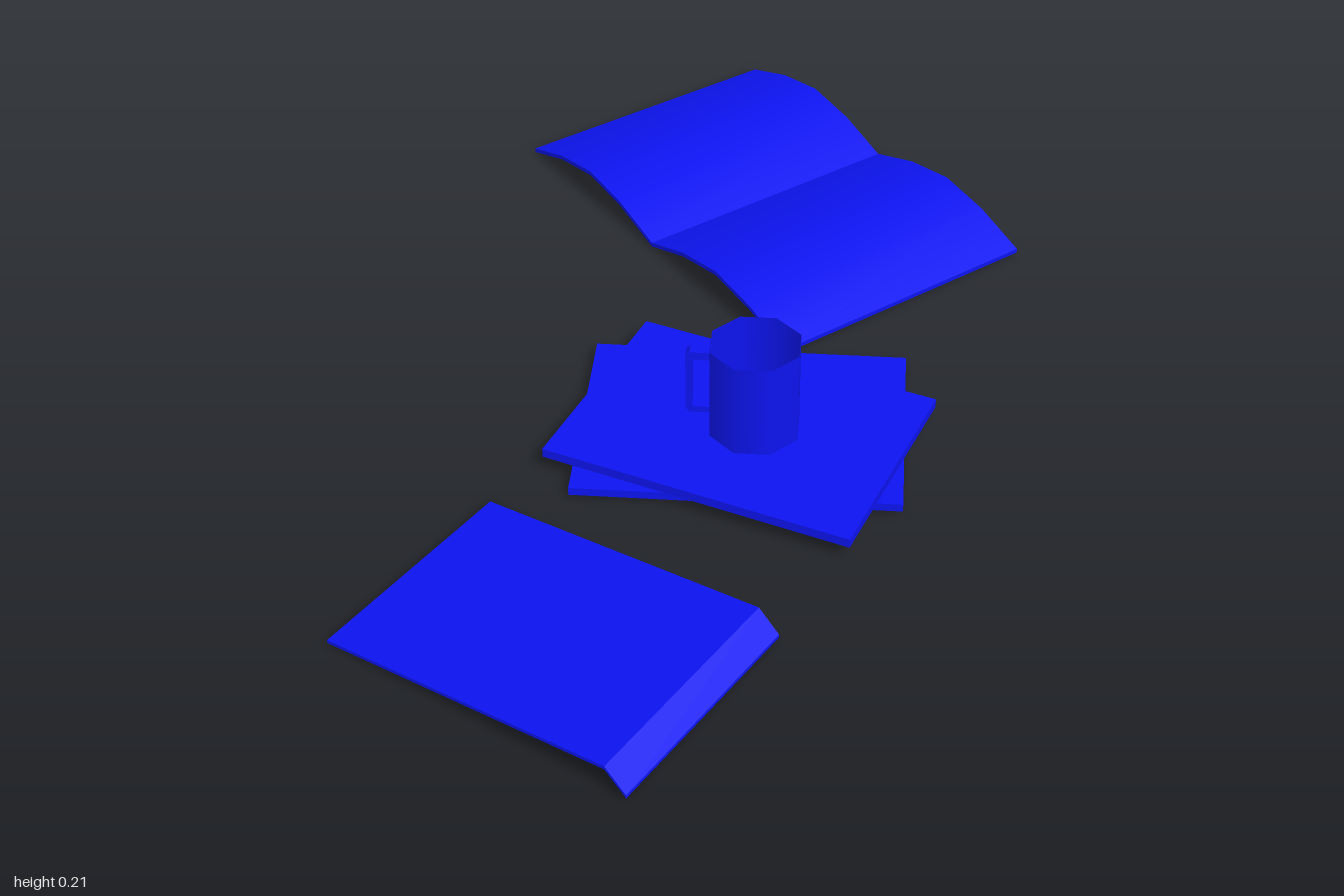
import * as THREE from 'three';
import { toCreasedNormals } from 'three/addons/utils/BufferGeometryUtils.js';

const material = new THREE.MeshStandardMaterial({ color: 0x0d14f0, side: THREE.DoubleSide });

function add(parent, name, geometry, x, y, z, turn = 0) {
  const mesh = new THREE.Mesh(geometry, material);
  mesh.name = name;
  mesh.position.set(x, y, z);
  mesh.rotation.y = turn;
  parent.add(mesh);
  return mesh;
}

// Thin bent sheet: an upper outline thickened downward and extruded along z
function sheet(profile, thickness, depth) {
  const top = profile.map(([x, y]) => new THREE.Vector2(x, y));
  const bottom = profile.map(([x, y]) => new THREE.Vector2(x, y - thickness)).reverse();
  const geometry = new THREE.ExtrudeGeometry(new THREE.Shape([...top, ...bottom]), { depth, bevelEnabled: false });
  geometry.translate(0, 0, -depth / 2);
  return toCreasedNormals(geometry, 0.5);
}

export function createModel() {
  const model = new THREE.Group();
  model.name = 'booksAndMug';

  // Open book lying face down: two arched halves meeting at the spine
  const arch = [0.01, 0.044, 0.06, 0.044];
  const outline = [...arch, ...arch, 0.01].map((y, i) => [-0.405 + i * 0.10125, y]);
  add(model, 'openBook', sheet(outline, 0.008, 0.533), 0.055, 0, -0.52, -0.873);

  // Tilted cover with a folded edge
  const cover = [[-0.273, 0.006], [0.237, 0.048], [0.273, 0.013]];
  add(model, 'tiltedCover', sheet(cover, 0.006, 0.38), -0.19, 0, 0.693, -0.524);

  // Stack of two closed books
  add(model, 'lowerBook', new THREE.BoxGeometry(0.53, 0.014, 0.385), 0.055, 0.014, 0.175);
  add(model, 'upperBook', new THREE.BoxGeometry(0.531, 0.016, 0.383), 0.055, 0.034, 0.21, -0.349);

  // Mug: eight-sided thin open cup
  const mug = new THREE.Group();
  mug.name = 'mug';
  mug.position.set(0.076, 0.042, 0.215);
  model.add(mug);
  const r = 0.077;
  const wall = new THREE.CylinderGeometry(r, r, 0.167, 8, 1, true);
  add(mug, 'mugWall', wall, 0, 0.0835, 0, Math.PI / 8);
  const base = new THREE.CircleGeometry(r, 8).rotateX(-Math.PI / 2);
  add(mug, 'mugBase', base, 0, 0.002, 0, Math.PI / 8);

  // Handle: bracket with clipped outer corners
  const bracket = (out, low, high, cut) => [
    [-0.07, low], [-0.07, high], [out + cut, high], [out, high - cut], [out, low + cut], [out + cut, low],
  ].map(([x, y]) => new THREE.Vector2(x, y));
  const outer = bracket(-0.111, 0.033, 0.152, 0.007);
  const inner = bracket(-0.101, 0.044, 0.138, 0.004);
  const order = (p) => [p[0], p[5], p[4], p[3], p[2], p[1]];
  const shape = new THREE.Shape([...order(outer), ...order(inner).reverse()]);
  const handle = new THREE.ExtrudeGeometry(shape, { depth: 0.022, bevelEnabled: false });
  add(mug, 'mugHandle', handle, 0, 0, -0.011);

  return model;
}
